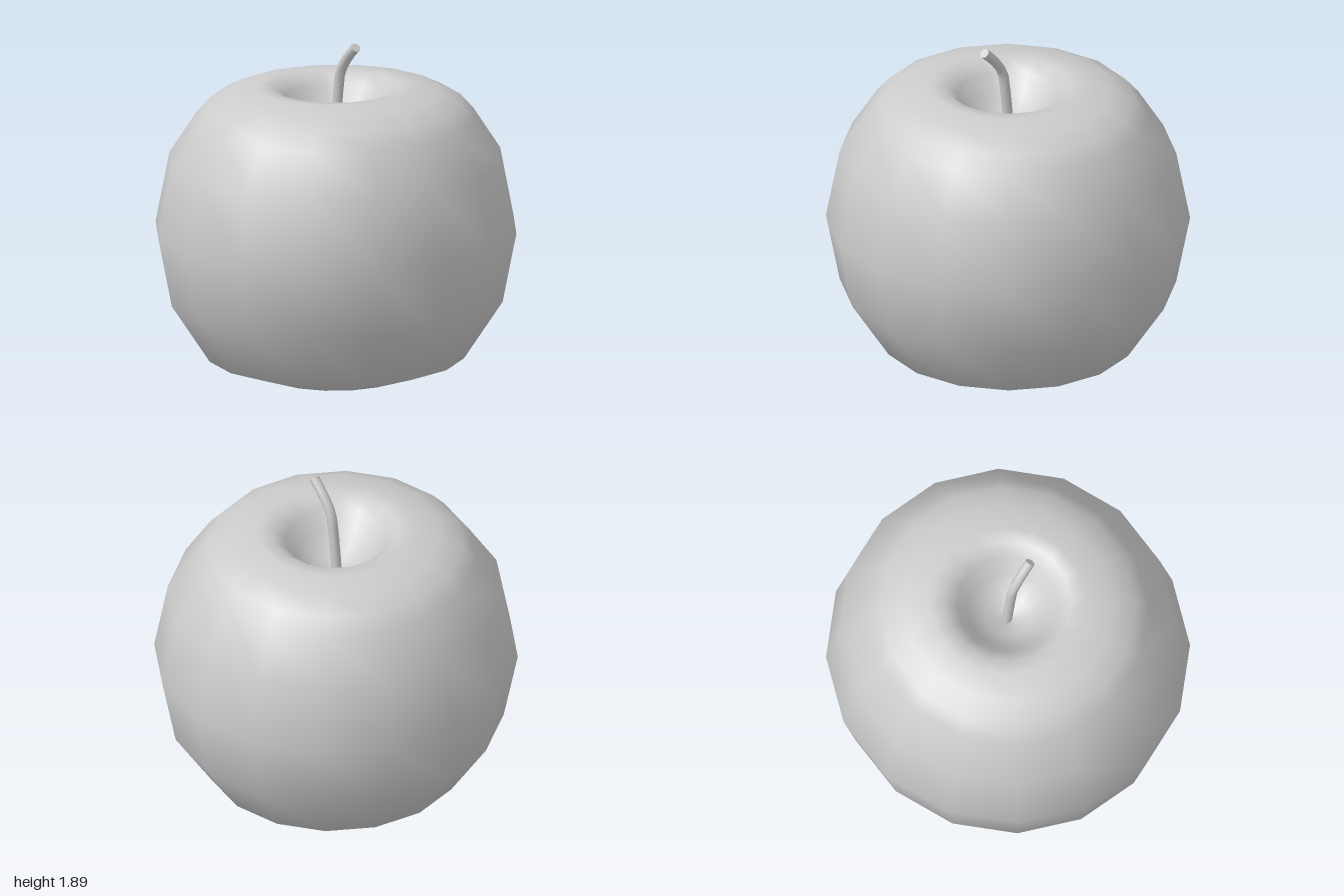
import * as THREE from 'three';

export function createModel() {
  const model = new THREE.Group();
  const material = new THREE.MeshStandardMaterial({ color: 0xcccccc });
  const add = (parent, geometry, name) => {
    const mesh = new THREE.Mesh(geometry, material);
    mesh.name = name;
    parent.add(mesh);
    return mesh;
  };

  // Fruit: sixteen-sided smooth lathe, from the hollow base to the top dimple
  const profile = [
    [0, 0.2], [0.19, 0.12], [0.385, 0], [0.71, 0.11], [0.924, 0.435], [1, 0.82],
    [0.924, 1.21], [0.775, 1.44], [0.7, 1.525], [0.58, 1.585], [0.43, 1.617],
    [0.35, 1.61], [0.28, 1.56], [0.22, 1.47], [0.12, 1.38], [0, 1.34],
  ].map(([r, y]) => new THREE.Vector2(r, y));
  const body = new THREE.LatheGeometry(profile, 16);
  body.scale(1, 1, 0.98);
  add(model, body, 'fruitBody');

  // Stem: thin bent tube rising from the dimple and leaning forward
  const stem = new THREE.Group();
  stem.name = 'stem';
  model.add(stem);
  const path = new THREE.CatmullRomCurve3([
    [-0.01, 1.32], [0.005, 1.46], [0.022, 1.6], [0.042, 1.705], [0.113, 1.805], [0.18, 1.868],
  ].map(([z, y]) => new THREE.Vector3(0, y, z)));
  const radius = 0.028;
  add(stem, new THREE.TubeGeometry(path, 10, radius, 8), 'stemStalk');

  // Flat end of the stem
  const cap = add(stem, new THREE.CircleGeometry(radius, 8), 'stemTip');
  const tip = path.getPoint(1);
  cap.position.copy(tip);
  cap.quaternion.setFromUnitVectors(new THREE.Vector3(0, 0, 1), path.getTangent(1));

  return model;
}
